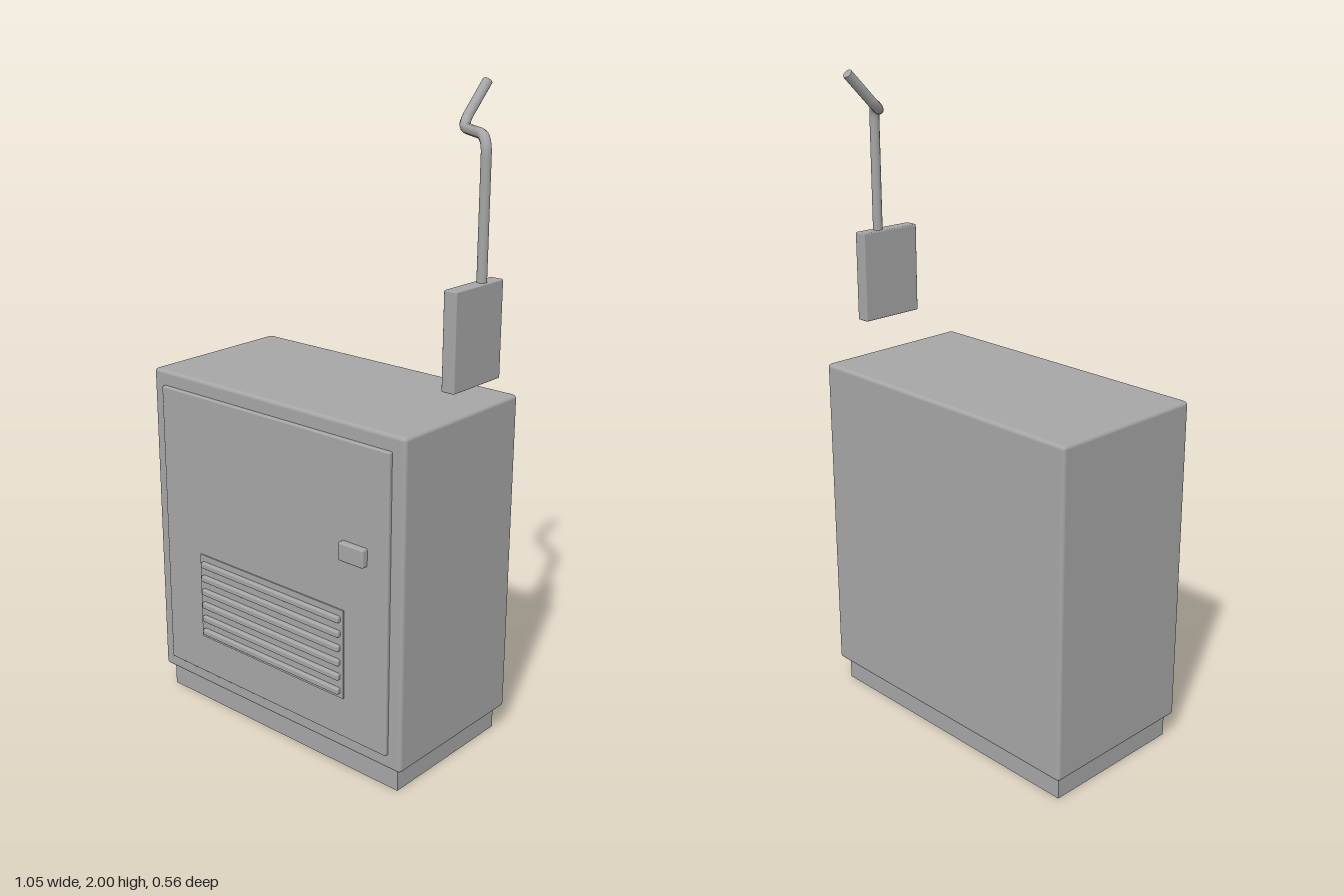
import * as THREE from 'three';
import { RoundedBoxGeometry } from 'three/addons/geometries/RoundedBoxGeometry.js';

const grey = new THREE.MeshStandardMaterial({ color: 0xa6a6a6 });
grey.name = 'grey metal';

// Box given by its minimum and maximum corners, with softened edges when bevel > 0
function block(name, [x0, y0, z0], [x1, y1, z1], bevel = 0) {
  const size = [x1 - x0, y1 - y0, z1 - z0];
  const geometry = bevel > 0
    ? new RoundedBoxGeometry(...size, 2, bevel)
    : new THREE.BoxGeometry(...size);
  const mesh = new THREE.Mesh(geometry, grey);
  mesh.name = name;
  mesh.position.set((x0 + x1) / 2, (y0 + y1) / 2, (z0 + z1) / 2);
  return mesh;
}

// Straight runs joined by rounded bends
function bentPath(points, bend) {
  const path = new THREE.CurvePath();
  let from = points[0];
  for (let i = 1; i < points.length - 1; i++) {
    const corner = points[i];
    const before = corner.clone().add(points[i - 1].clone().sub(corner).setLength(bend));
    const after = corner.clone().add(points[i + 1].clone().sub(corner).setLength(bend));
    path.add(new THREE.LineCurve3(from, before));
    path.add(new THREE.QuadraticBezierCurve3(before, corner, after));
    from = after;
  }
  path.add(new THREE.LineCurve3(from, points[points.length - 1]));
  return path;
}

export function createModel() {
  const model = new THREE.Group();
  model.name = 'utilityCabinet';

  // Cabinet and plinth
  model.add(block('plinth', [-0.505, 0, -0.25], [0.45, 0.09, 0.226]));
  model.add(block('cabinetBody', [-0.527, 0.075, -0.275], [0.475, 1.105, 0.247], 0.012));

  // Door with latch
  model.add(block('door', [-0.48, 0.122, 0.235], [0.43, 1.058, 0.26], 0.005));
  model.add(block('latch', [0.262, 0.7, 0.25], [0.356, 0.757, 0.28], 0.006));

  // Vent panel and slats
  const vent = new THREE.Group();
  vent.name = 'vent';
  vent.add(block('ventPanel', [-0.325, 0.252, 0.256], [0.271, 0.538, 0.264]));
  for (let i = 0; i < 6; i++) {
    const y = 0.275 + i * 0.0465;
    vent.add(block('ventSlat', [-0.313, y - 0.01, 0.255], [0.26, y + 0.01, 0.277], 0.005));
  }
  model.add(vent);

  // Separate control box above the side
  model.add(block('controlBox', [0.48, 1.203, -0.108], [0.523, 1.485, 0.105], 0.004));

  // Bent conduit rising from the control box
  const points = [
    [0.502, 1.47, -0.035],
    [0.502, 1.875, -0.035],
    [0.335, 1.875, -0.15],
    [0.335, 1.99, -0.265],
  ].map((p) => new THREE.Vector3(...p));
  const radius = 0.015;
  const conduit = new THREE.Group();
  conduit.name = 'conduit';
  const tube = new THREE.Mesh(
    new THREE.TubeGeometry(bentPath(points, 0.05), 72, radius, 10), grey);
  tube.name = 'conduitTube';
  const cap = new THREE.Mesh(new THREE.CircleGeometry(radius, 10), grey);
  cap.name = 'conduitEnd';
  cap.position.copy(points[3]);
  cap.quaternion.setFromUnitVectors(
    new THREE.Vector3(0, 0, 1), points[3].clone().sub(points[2]).normalize());
  conduit.add(tube, cap);
  model.add(conduit);

  return model;
}
